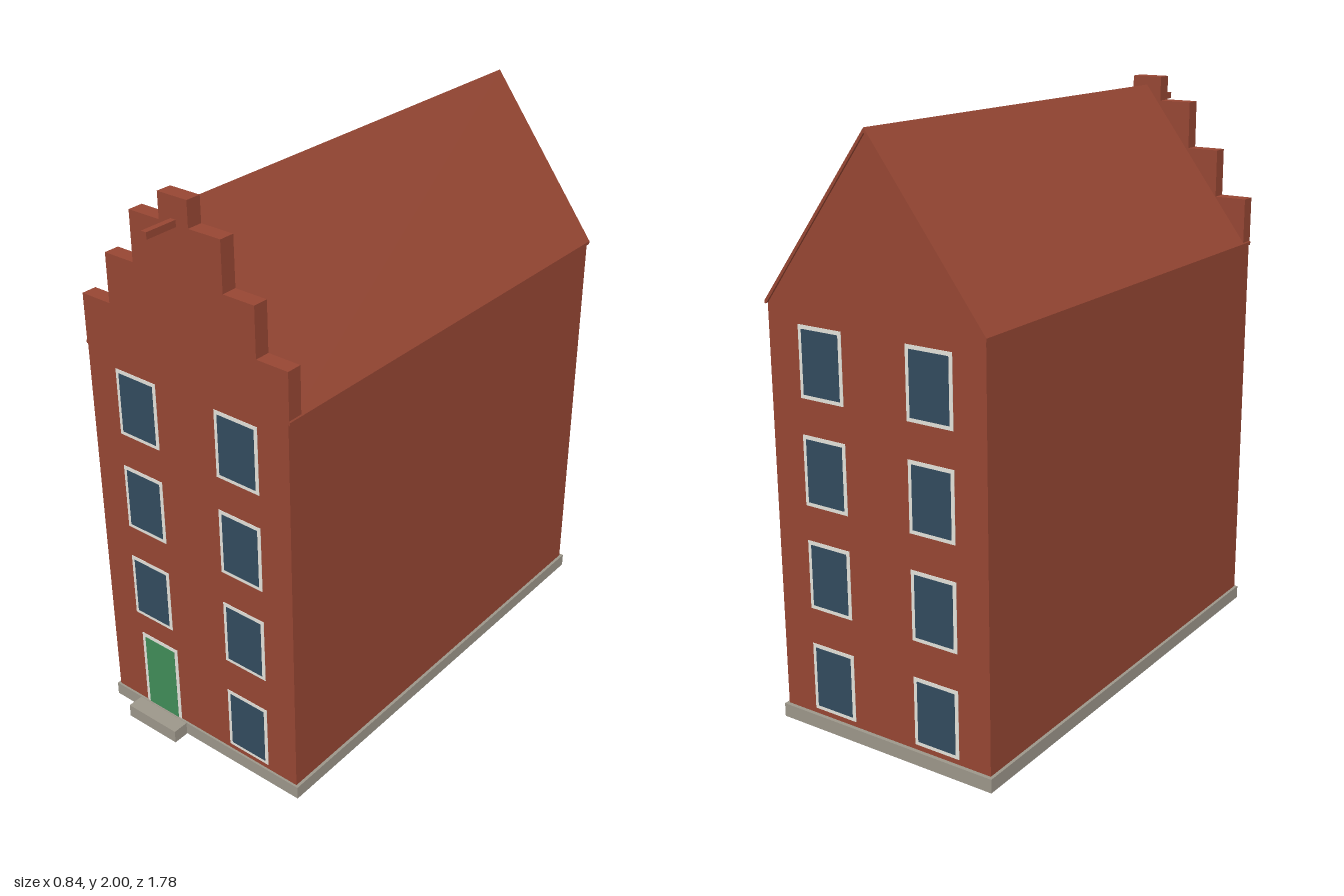
import * as THREE from 'three';

const mat = (name, color, side = THREE.FrontSide) => {
  const m = new THREE.MeshStandardMaterial({ color, side });
  m.name = name;
  return m;
};

export function createModel() {
  const house = new THREE.Group();
  house.name = 'steppedGableHouse';
  const brick = mat('brick red', 0x964633);
  const stone = mat('stone grey', 0x9c968a, THREE.DoubleSide);
  const white = mat('frame white', 0xe4e2da);
  const glass = mat('window blue', 0x324b5e);
  const green = mat('door green', 0x408d59);

  const add = (name, geometry, material, parent = house) => {
    const mesh = new THREE.Mesh(geometry, material);
    mesh.name = name;
    parent.add(mesh);
    return mesh;
  };

  // Box given by its limits on each axis
  const box = (name, material, [x0, x1], [y0, y1], [z0, z1], parent) => {
    const mesh = add(name, new THREE.BoxGeometry(x1 - x0, y1 - y0, z1 - z0), material, parent);
    mesh.position.set((x0 + x1) / 2, (y0 + y1) / 2, (z0 + z1) / 2);
    return mesh;
  };

  // Hollow box without its bottom face
  const openBox = (...limits) => {
    const { geometry } = box(...limits);
    const index = Array.from(geometry.index.array);
    index.splice(18, 6);
    geometry.setIndex(index);
    geometry.clearGroups();
  };

  // Outline in x and y, extruded from z0 to z1
  const prism = (name, material, points, z0, z1) => {
    const shape = new THREE.Shape(points.map(([x, y]) => new THREE.Vector2(x, y)));
    const geometry = new THREE.ExtrudeGeometry(shape, { depth: z1 - z0, bevelEnabled: false });
    geometry.translate(0, 0, z0);
    return add(name, geometry, material);
  };

  // Base and doorstep, both open underneath
  const base = 0.047;
  openBox('plinth', stone, [-0.42, 0.42], [0, base], [-0.887, 0.782]);
  openBox('doorstep', stone, [-0.3, -0.08], [0, base], [0.783, 0.84]);

  // Walls with pointed gables, and the thin roof over them
  const front = 0.775, back = -0.875;
  prism('walls', brick,
    [[-0.41, base + 0.001], [0.41, base + 0.001], [0.41, 1.418], [0, 1.96], [-0.41, 1.418]],
    back, front);
  prism('roof', brick,
    [[-0.416, 1.41], [-0.41, 1.412], [0, 1.955], [0.41, 1.412], [0.416, 1.41], [0.416, 1.421],
      [0, 1.97], [-0.416, 1.421]], -0.882, front);

  // Stepped parapet on the front gable
  const steps = [[0.413, 1.583], [0.295, 1.75], [0.178, 1.915], [0.057, 2]];
  const right = [[0.413, 1.42]];
  steps.forEach(([x, y], i) => {
    if (i) right.push([x, steps[i - 1][1]]);
    right.push([x, y]);
  });
  const left = right.map(([x, y]) => [-x, y]).reverse();
  prism('steppedParapet', brick, [...right, ...left], 0.722, front);

  // Hoisting beam
  box('hoistBeam', brick, [-0.01, 0.01], [1.908, 1.93], [0.77, 0.89]);

  // Framed plate laid on the front (side 1) or back (side -1) wall
  const opening = (name, side, x, y0, y1, width, panel, edge, sill) => {
    const group = new THREE.Group();
    group.name = name;
    const wall = side > 0 ? front : back;
    const depth = (d) => (side > 0 ? [wall, wall + d] : [wall - d, wall]);
    const w = width / 2;
    box('frame', white, [x - w, x + w], [y0, y1], depth(0.0015), group);
    box('panel', panel, [x - w + edge, x + w - edge], [y0 + sill, y1 - edge], depth(0.003), group);
    house.add(group);
  };

  // Four rows of windows, with the door in place of one at the front
  [0.066, 0.424, 0.776, 1.128].forEach((y, row) => {
    for (const side of [1, -1]) {
      for (const x of [-0.207, 0.205]) {
        if (side > 0 && row === 0 && x < 0) continue;
        opening('window', side, x, y, y + 0.234, 0.17, glass, 0.013, 0.013);
      }
    }
  });
  opening('door', 1, -0.19, base + 0.001, 0.345, 0.164, green, 0.014, 0);

  return house;
}
